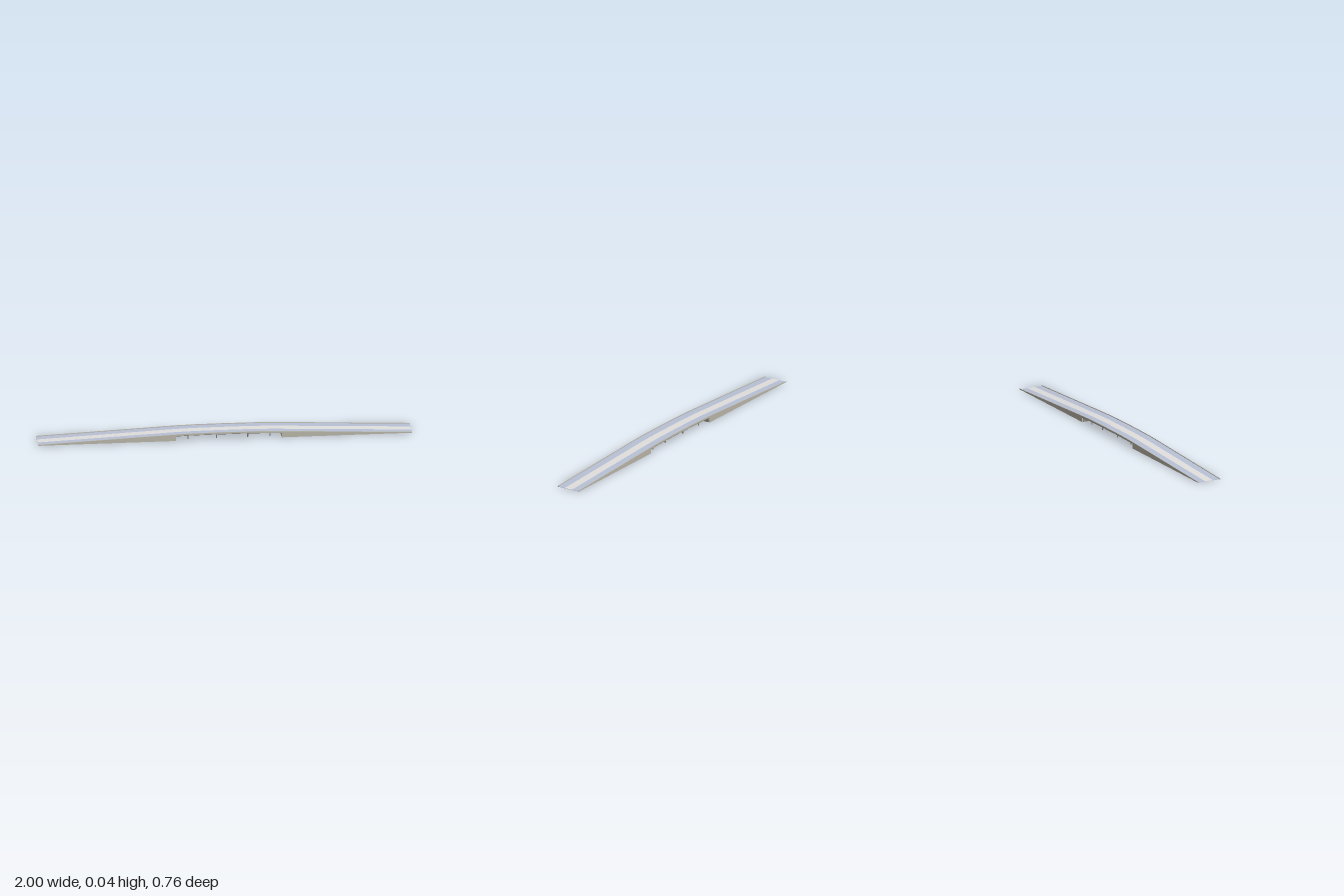
import * as THREE from 'three';

const HALF = 1.0269;   // half length along the bridge
const EDGE = 0.0705;   // half width
const GAP = [-0.27, 0.31]; // open span between the abutments

// Height of the parapet top along the bridge
const PROFILE = [[0, 0.041], [0.08, 0.0409], [0.15, 0.0404], [0.2, 0.0396], [0.25, 0.0383], [0.31, 0.036], [HALF, 0.005]];
function top(s) {
  const a = Math.abs(s);
  for (let i = 1; i < PROFILE.length; i++) {
    const [s0, y0] = PROFILE[i - 1], [s1, y1] = PROFILE[i];
    if (a <= s1 + 1e-6) return y0 + (y1 - y0) * (a - s0) / (s1 - s0);
  }
  return PROFILE[PROFILE.length - 1][1];
}

// Slab following the profile between s0 and s1, from z0 to z1
function slab(s0, s1, z0, z1, lower, upper) {
  const knots = PROFILE.flatMap(([s]) => [s, -s]).filter(s => s > s0 + 1e-4 && s < s1 - 1e-4 && s !== 0);
  const list = [s0, ...knots.sort((a, b) => a - b), s1];
  const pts = list.map(s => new THREE.Vector2(s, upper(s)));
  list.reverse().forEach(s => pts.push(new THREE.Vector2(s, lower(s))));
  const g = new THREE.ExtrudeGeometry(new THREE.Shape(pts), { depth: z1 - z0, bevelEnabled: false });
  return g.translate(0, 0, z0);
}
const below = d => s => Math.max(0, top(s) - d);

export function createModel() {
  const mat = (name, color) => Object.assign(new THREE.MeshStandardMaterial({ color }), { name });
  const road = mat('blue grey road', 0xb8c1d5);
  const median = mat('light grey median', 0xe0dfde);
  const concrete = mat('concrete', 0xbab6aa);
  const greyConcrete = mat('grey concrete', 0x85827b);
  const dark = mat('dark soffit', 0x6f6c67);

  const bridge = new THREE.Group();
  bridge.name = 'bridge';
  const add = (name, geometry, material) => {
    const m = new THREE.Mesh(geometry, material);
    m.name = name;
    bridge.add(m);
    return m;
  };

  // Carriageways and the central strip
  const roadTop = s => top(s) - 0.003;
  const roadBase = s => top(s) - 0.0045;
  const inner = EDGE - 0.0045;
  add('medianStrip', slab(-HALF, HALF, -0.0235, 0.0235, roadBase, roadTop), median);
  add('leftCarriageway', slab(-HALF, HALF, 0.0235, inner, roadBase, roadTop), road);
  add('rightCarriageway', slab(-HALF, HALF, -inner, -0.0235, roadBase, roadTop), road);

  // Parapets along both edges
  for (const side of [-1, 1]) {
    const z = [side * inner, side * EDGE].sort((a, b) => a - b);
    add('parapet', slab(-HALF, HALF, z[0], z[1], below(0.009), top), concrete);
  }

  // Dark deck underside over the open span
  add('soffit', slab(GAP[0], GAP[1], -0.0685, 0.0685, s => top(s) - 0.0115, s => top(s) - 0.0046), dark);

  // Hollow abutments: side walls and an end wall
  for (const dir of [-1, 1]) {
    const start = dir < 0 ? GAP[0] : GAP[1];
    const range = [start, dir * (HALF - 0.005)].sort((a, b) => a - b);
    for (const side of [-1, 1]) {
      const z = [side * 0.062, side * 0.0685].sort((a, b) => a - b);
      add('abutmentSideWall', slab(range[0], range[1], z[0], z[1], () => 0, below(0.0048)), concrete);
    }
    const e = [start, start + dir * 0.014].sort((a, b) => a - b);
    add('abutmentEndWall', slab(e[0], e[1], -0.062, 0.062, () => 0, below(0.0048)), greyConcrete);
  }

  // Piers: twin columns under a tapered cross beam
  const capShape = new THREE.Shape([[-0.062, 0.03], [-0.062, 0.027], [-0.045, 0.023], [0.045, 0.023], [0.062, 0.027], [0.062, 0.03]]
    .map(p => new THREE.Vector2(...p)));
  for (const s of [-0.202, -0.045, 0.126, 0.249]) {
    const cap = new THREE.ExtrudeGeometry(capShape, { depth: 0.009, bevelEnabled: false });
    cap.translate(0, 0, -0.0045).rotateY(Math.PI / 2).translate(s, 0, 0);
    add('pierCap', cap, greyConcrete);
    for (const z of [-0.04, 0.04]) {
      add('pierColumn', new THREE.CylinderGeometry(0.0035, 0.0035, 0.025, 10), greyConcrete).position.set(s, 0.0125, z);
    }
  }

  bridge.rotation.y = Math.atan2(0.312, 0.978);
  const model = new THREE.Group();
  model.name = 'overpass';
  model.add(bridge);
  return model;
}
